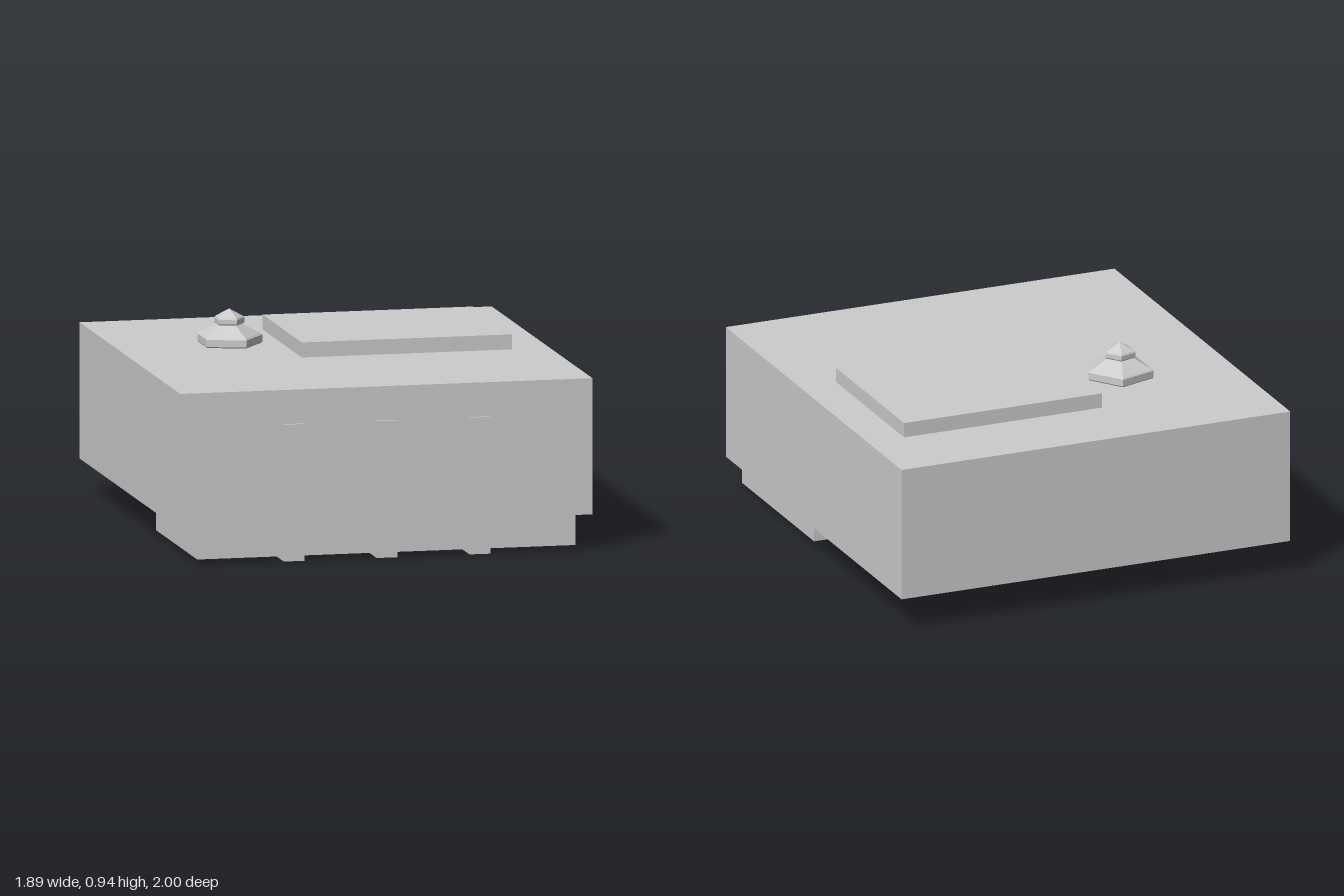
import * as THREE from 'three';

export function createModel() {
  const model = new THREE.Group();
  const grey = new THREE.MeshStandardMaterial({ color: 0xcccccc });
  grey.name = 'light grey';

  const add = (name, geometry) => {
    const mesh = new THREE.Mesh(geometry, grey);
    mesh.name = name;
    model.add(mesh);
  };

  // box given by its extents on each axis
  const box = (name, [x0, x1], [y0, y1], [z0, z1]) => {
    const geometry = new THREE.BoxGeometry(x1 - x0, y1 - y0, z1 - z0);
    geometry.translate((x0 + x1) / 2, (y0 + y1) / 2, (z0 + z1) / 2);
    add(name, geometry);
  };

  box('body', [-0.945, 0.945], [0.158, 0.775], [-1, 0.987]);
  box('frontBase', [-0.867, 0.867], [0.022, 0.158], [0.17, 0.986]);
  box('topPlate', [-0.193, 0.77], [0.775, 0.843], [-0.622, 0.15]);

  // straps run down the front, under the base and up behind it
  const profile = new THREE.Shape([
    [1, 0.62], [0.987, 0.62], [0.987, 0.022], [0.17, 0.022],
    [0.17, 0.158], [0.155, 0.158], [0.155, 0], [1, 0],
  ].map(([z, y]) => new THREE.Vector2(z, y)));
  const width = 0.095;
  for (const x of [-0.426, 0, 0.426]) {
    const strap = new THREE.ExtrudeGeometry(profile, { depth: width, bevelEnabled: false });
    strap.rotateY(-Math.PI / 2).translate(x + width / 2, 0, 0);
    add('strap', strap);
  }

  // five-sided faceted knob: wide skirt, neck and pointed cap
  const knobPoints = [
    [0.148, 0.775], [0.153, 0.78], [0.153, 0.812], [0.145, 0.819], [0.058, 0.867],
    [0.066, 0.867], [0.071, 0.872], [0.071, 0.892], [0.066, 0.899], [0, 0.936],
  ].map(([r, y]) => new THREE.Vector2(r, y));
  const knob = new THREE.LatheGeometry(knobPoints, 5, Math.PI / 2).toNonIndexed();
  knob.computeVertexNormals();
  knob.translate(-0.427, 0, -0.28);
  add('knob', knob);

  return model;
}
